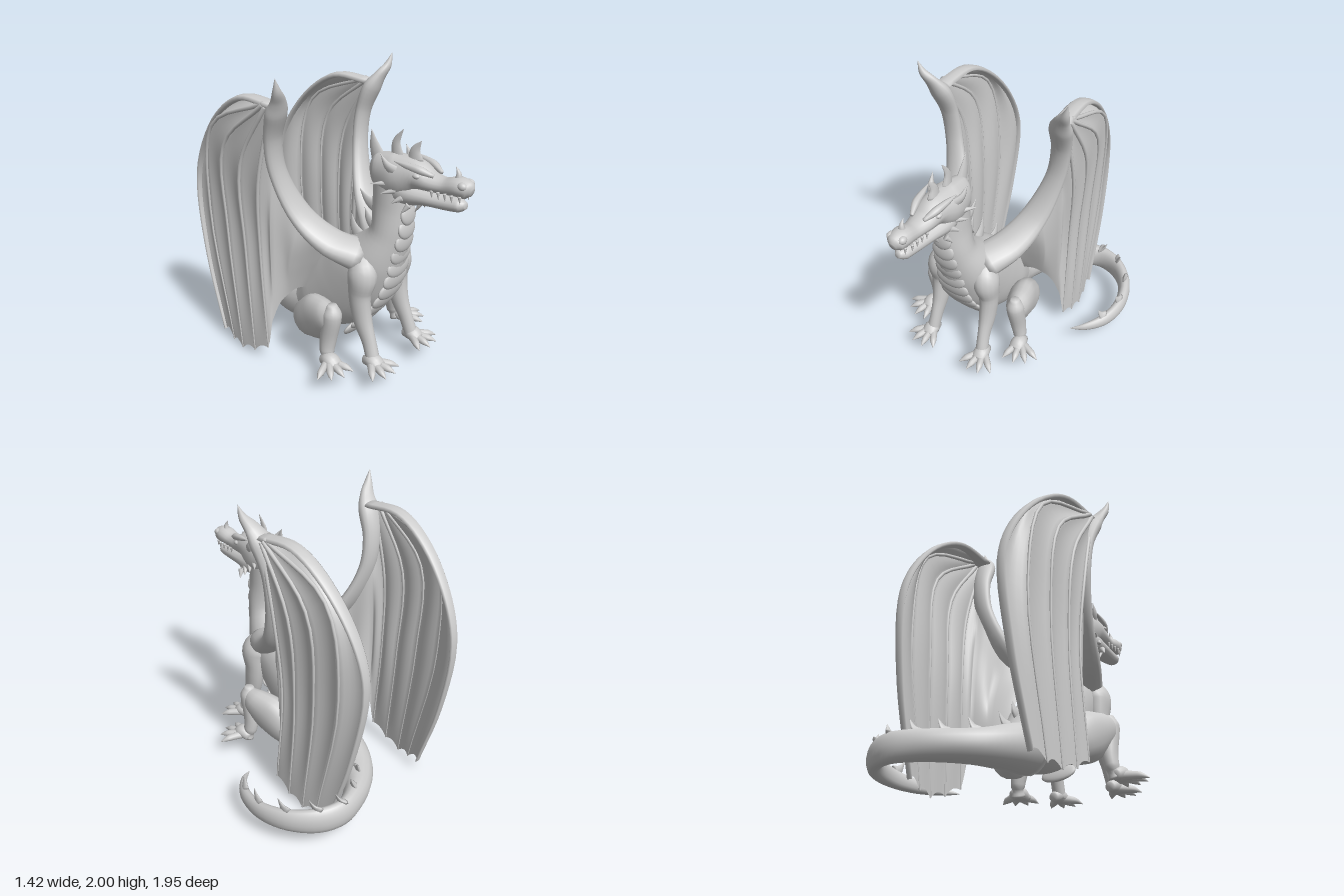
import * as THREE from 'three';

const GROUND = 0.125;
const V = (x, y, z) => new THREE.Vector3(x, y, z);
const mat = new THREE.MeshStandardMaterial({ color: 0xcccccc });
const thin = new THREE.MeshStandardMaterial({ color: 0xcccccc, side: THREE.DoubleSide });

function add(parent, geo, name, material = mat) {
  const m = new THREE.Mesh(geo, material);
  m.name = name;
  parent.add(m);
  return m;
}

// Smooth skin over elliptical sections [x, y, z, halfWidth, halfHeight]
function loft(pts, { sides = 16, steps = 5, level = false, floor = -1 } = {}) {
  const path = new THREE.CatmullRomCurve3(pts.map(p => V(p[0], p[1], p[2])));
  const size = new THREE.CatmullRomCurve3(pts.map(p => V(p[3], p[4] ?? p[3], 0)));
  const n = (pts.length - 1) * steps, pos = [], idx = [];
  const put = p => pos.push(p.x, Math.max(p.y, floor), p.z);
  for (let i = 0; i <= n; i++) {
    const c = path.getPoint(i / n), r = size.getPoint(i / n), t = path.getTangent(i / n);
    let a = level ? V(0, 1, 0).cross(t) : V(1, 0, 0).addScaledVector(t, -t.x);
    if (a.length() < 0.05) a = V(0, 0, 1).addScaledVector(t, -t.z);
    a.normalize();
    const b = t.clone().cross(a);
    for (let j = 0; j < sides; j++) {
      const q = j / sides * Math.PI * 2;
      put(c.clone().addScaledVector(a, Math.cos(q) * Math.max(r.x, 0.001)).addScaledVector(b, Math.sin(q) * Math.max(r.y, 0.001)));
    }
  }
  for (let i = 0; i < n; i++) for (let j = 0; j < sides; j++) {
    const k = (j + 1) % sides, A = i * sides + j, B = i * sides + k;
    idx.push(A, B, A + sides, B, B + sides, A + sides);
  }
  put(path.getPoint(0)); put(path.getPoint(1));
  const e = (n + 1) * sides, last = n * sides;
  for (let j = 0; j < sides; j++) {
    const k = (j + 1) % sides;
    idx.push(e, k, j, e + 1, last + j, last + k);
  }
  const g = new THREE.BufferGeometry();
  g.setAttribute('position', new THREE.Float32BufferAttribute(pos, 3));
  g.setIndex(idx);
  g.computeVertexNormals();
  return g;
}

// Curved horn from base to tip, bowed by the vector bend
function spike(parent, base, tip, r, name, bend = [0, 0, 0], flat = 1) {
  const mid = base.map((v, i) => (v + tip[i]) / 2 + bend[i]);
  return add(parent, loft([[...base, r * flat, r], [...mid, r * 0.6 * flat, r * 0.6], [...tip, 0.001, 0.001]], { sides: 8, steps: 4 }), name);
}

function ball(parent, p, s, name) {
  const m = add(parent, new THREE.SphereGeometry(1, 20, 14), name);
  m.position.set(...p);
  m.scale.set(...s);
  return m;
}

function makeWing(s) {
  const wing = new THREE.Group();
  wing.name = s > 0 ? 'leftWing' : 'rightWing';
  const arm = [[0.12, 0.83, 0.27, 0.13, 0.1], [0.23, 0.92, 0.1, 0.12, 0.07], [0.32, 1.09, -0.06, 0.095, 0.045], [0.405, 1.38, -0.165, 0.07, 0.04],
    [0.435, 1.6, -0.165, 0.07, 0.045], [0.455, 1.76, -0.11, 0.08, 0.055], [0.485, 1.85, -0.06, 0.055, 0.035], [0.525, 1.92, -0.025, 0.028, 0.025], [0.55, 2, -0.01, 0.001, 0.001]];
  add(wing, loft(arm.map(([x, ...q]) => [s * x, ...q])), 'wingArm');
  // Flank edge, two stretched folds, then the five fingers
  const ribs = [
    [[0.1, 0.93, 0.16], [0.16, 0.83, 0.02], [0.18, 0.68, -0.08], [0.17, 0.48, -0.18]],
    [[0.32, 1.09, -0.07], [0.35, 0.9, -0.1], [0.35, 0.72, -0.15], [0.3, 0.47, -0.21]],
    [[0.41, 1.42, -0.18], [0.44, 1.1, -0.21], [0.44, 0.8, -0.23], [0.42, 0.34, -0.24]],
    [[0.48, 1.77, -0.14], [0.49, 1.3, -0.26], [0.465, 0.8, -0.3], [0.475, 0.11, -0.26]],
    [[0.5, 1.8, -0.16], [0.505, 1.4, -0.4], [0.475, 0.8, -0.43], [0.48, 0.04, -0.39]],
    [[0.5, 1.81, -0.18], [0.5, 1.5, -0.55], [0.47, 0.9, -0.6], [0.475, 0.0, -0.52]],
    [[0.49, 1.82, -0.18], [0.475, 1.6, -0.68], [0.45, 1.0, -0.79], [0.455, 0.02, -0.63]],
    [[0.45, 1.81, -0.13], [0.44, 1.82, -0.4], [0.425, 1.68, -0.64], [0.4, 1.4, -0.86], [0.39, 1.12, -0.95], [0.41, 0.6, -0.89], [0.43, 0.06, -0.74]]
  ];
  const curves = ribs.map(r => new THREE.CatmullRomCurve3(r.map(p => V(s * p[0], p[1], p[2]))));
  const rows = 28, per = 6, cols = (ribs.length - 1) * per, pos = [], idx = [];
  for (let i = 0; i <= rows; i++) for (let j = 0; j <= cols; j++) {
    const sag = Math.sin((j % per) / per * Math.PI), t = i / rows * (1 - 0.02 * sag);
    const p = new THREE.CatmullRomCurve3(curves.map(c => c.getPointAt(t))).getPoint(j / cols);
    p.x -= s * 0.025 * sag * Math.sin(t * Math.PI);
    pos.push(p.x, Math.max(p.y, 0), p.z);
    if (i < rows && j < cols) {
      const a = i * (cols + 1) + j, b = a + cols + 1;
      idx.push(a, b, a + 1, b, b + 1, a + 1);
    }
  }
  const g = new THREE.BufferGeometry();
  g.setAttribute('position', new THREE.Float32BufferAttribute(pos, 3));
  g.setIndex(idx);
  g.computeVertexNormals();
  add(wing, g, 'wingMembrane', thin);
  ribs.slice(3).forEach((r, k) => {
    const outer = k === 4;
    add(wing, loft(r.map((p, i) => {
      const f = 1 - 0.65 * i / (r.length - 1), h = (outer ? 0.022 : 0.015) * f;
      return [s * p[0], Math.max(p[1], 0.006), p[2], outer ? 0.06 * f : h, h];
    }), { sides: 8, floor: 0 }), 'wingFinger');
  });
  return wing;
}

// Paw of four clawed toes, turned outward by the given angle
function paw(parent, x, z, turn, name) {
  const g = new THREE.Group();
  g.name = name;
  parent.add(g);
  add(g, loft([[x, 0.15, z - 0.08, 0.03, 0.03], [x, 0.17, z - 0.01, 0.055, 0.05], [x, 0.145, z + 0.05, 0.05, 0.03]], { floor: GROUND }), 'palm');
  for (let i = 0; i < 4; i++) {
    const a = turn + (i - 1.5) * 0.48;
    const at = (d, y, w, h) => [x + Math.sin(a) * d, y, z - 0.03 + Math.cos(a) * d, w, h];
    add(g, loft([at(0.01, 0.155, 0.03, 0.03), at(0.08, 0.152, 0.025, 0.027), at(0.13, 0.147, 0.023, 0.022), at(0.185, 0.13, 0.002, 0.002)],
      { sides: 10, level: true, floor: GROUND }), 'toe');
  }
}

function makeLegs(s) {
  const legs = new THREE.Group();
  legs.name = s > 0 ? 'leftLegs' : 'rightLegs';
  add(legs, loft([[s * 0.15, 0.84, 0.29, 0.06, 0.07], [s * 0.185, 0.74, 0.33, 0.09, 0.1], [s * 0.2, 0.6, 0.32, 0.065, 0.078], [s * 0.2, 0.43, 0.345, 0.055, 0.068],
    [s * 0.205, 0.28, 0.405, 0.042, 0.05], [s * 0.215, 0.15, 0.45, 0.045, 0.045]], { floor: GROUND }), 'frontLeg');
  paw(legs, s * 0.22, 0.46, s * 0.12, 'frontPaw');
  add(legs, loft([[s * 0.17, 0.24, -0.2, 0.04, 0.05], [s * 0.24, 0.3, -0.1, 0.1, 0.13], [s * 0.285, 0.38, 0.04, 0.1, 0.16],
    [s * 0.33, 0.45, 0.16, 0.08, 0.11], [s * 0.34, 0.49, 0.23, 0.045, 0.055]], { floor: GROUND }), 'thigh');
  add(legs, loft([[s * 0.34, 0.55, 0.21, 0.03, 0.03], [s * 0.343, 0.47, 0.21, 0.062, 0.065], [s * 0.35, 0.3, 0.18, 0.052, 0.06],
    [s * 0.365, 0.2, 0.18, 0.045, 0.05], [s * 0.375, 0.14, 0.2, 0.045, 0.05]], { floor: GROUND }), 'shin');
  paw(legs, s * 0.39, 0.24, s * 0.5, 'hindPaw');
  return legs;
}

function makeHead() {
  const head = new THREE.Group();
  head.name = 'head';
  add(head, loft([[0, 1.37, 0.27, 0.04, 0.08], [0, 1.38, 0.33, 0.09, 0.13], [0, 1.385, 0.46, 0.12, 0.145], [0, 1.42, 0.6, 0.1, 0.1], [0, 1.4, 0.7, 0.085, 0.06],
    [0, 1.395, 0.8, 0.066, 0.05], [0, 1.41, 0.89, 0.07, 0.06], [0, 1.4, 0.95, 0.055, 0.055], [0, 1.39, 0.975, 0.02, 0.025]]), 'skull');
  add(head, loft([[0, 1.32, 0.4, 0.08, 0.08], [0, 1.3, 0.53, 0.1, 0.08], [0, 1.3, 0.68, 0.083, 0.055], [0, 1.297, 0.82, 0.062, 0.047],
    [0, 1.3, 0.9, 0.052, 0.042], [0, 1.305, 0.94, 0.02, 0.02]]), 'lowerJaw');
  spike(head, [0, 1.45, 0.88], [0, 1.525, 0.86], 0.025, 'noseHorn', [0, 0, 0.01]);
  spike(head, [0, 1.5, 0.58], [0, 1.63, 0.62], 0.06, 'crestHorn', [0, 0, -0.02], 0.4);
  spike(head, [0, 1.5, 0.45], [0, 1.68, 0.49], 0.05, 'crestHorn', [0, 0, -0.03], 0.4);
  spike(head, [0, 1.44, 0.32], [0, 1.64, 0.25], 0.065, 'crestHorn', [0, 0, -0.01], 0.4);
  for (const s of [-1, 1]) {
    spike(head, [s * 0.07, 1.43, 0.5], [s * 0.13, 1.545, 0.42], 0.045, 'ear', [s * 0.015, -0.01, 0], 0.7);
    add(head, loft([[s * 0.045, 1.45, 0.74, 0.012], [s * 0.075, 1.48, 0.66, 0.025], [s * 0.09, 1.495, 0.58, 0.02], [s * 0.105, 1.51, 0.5, 0.003]], { sides: 8 }), 'browRidge');
    ball(head, [s * 0.083, 1.44, 0.645], [0.018, 0.016, 0.025], 'eye');
    ball(head, [s * 0.042, 1.43, 0.93], [0.025, 0.025, 0.03], 'nostril');
    for (let i = 0; i < 5; i++) {
      const z = 0.74 + i * 0.045, x = s * (0.062 - (i === 4 ? 0.015 : 0));
      spike(head, [x, 1.37, z], [x, 1.325, z + 0.005], 0.011, 'upperTooth');
    }
    for (let i = 0; i < 4; i++) {
      spike(head, [s * 0.085, 1.25 + i * 0.035, 0.6 - i * 0.05], [s * (0.12 + i * 0.01), 1.2 + i * 0.05, 0.57 - i * 0.07], 0.022, 'cheekSpike');
    }
    spike(head, [s * 0.04, 1.27, 0.66], [s * 0.05, 1.2, 0.62], 0.018, 'chinSpike');
  }
  return head;
}

export function createModel() {
  const root = new THREE.Group();
  root.name = 'dragon';
  const dragon = new THREE.Group();
  dragon.name = 'figure';
  dragon.position.x = -0.155;
  root.add(dragon);

  add(dragon, loft([[0, 0.26, -0.36, 0.12, 0.1], [0, 0.36, -0.16, 0.18, 0.22], [0, 0.5, 0.04, 0.2, 0.27], [0, 0.66, 0.19, 0.21, 0.26], [0, 0.82, 0.32, 0.2, 0.19],
    [0, 1.0, 0.41, 0.14, 0.13], [0, 1.18, 0.42, 0.11, 0.135], [0, 1.36, 0.42, 0.1, 0.13]], { sides: 24, floor: GROUND }), 'body');
  dragon.add(makeHead());

  // Overlapping plates from throat to belly
  const front = new THREE.CatmullRomCurve3([[1.15, 0.54], [1.0, 0.522], [0.85, 0.485], [0.7, 0.455], [0.55, 0.395], [0.4, 0.29], [0.22, 0.13]].map(p => V(0, ...p)));
  for (let i = 0; i < 12; i++) {
    const t = i / 11, p = front.getPointAt(t), d = front.getTangentAt(t);
    const plate = ball(dragon, [0, p.y, p.z], [0.075 + 0.055 * Math.min(1, t * 2), 0.07, 0.024], 'bellyPlate');
    plate.rotation.x = Math.atan2(-d.z, -d.y) - 0.22;
  }

  // Tail curling round to the left, flat on the ground
  const tail = [[0, 0.3, -0.2, 0.16, 0.17], [0, 0.26, -0.38, 0.135, 0.14], [0.06, 0.22, -0.58, 0.12, 0.11], [0.17, 0.21, -0.72, 0.1, 0.1],
    [0.3, 0.21, -0.82, 0.075, 0.1], [0.46, 0.21, -0.88, 0.055, 0.1], [0.62, 0.205, -0.84, 0.05, 0.095], [0.76, 0.195, -0.7, 0.045, 0.08],
    [0.82, 0.175, -0.5, 0.04, 0.065], [0.79, 0.16, -0.31, 0.035, 0.05], [0.7, 0.145, -0.18, 0.02, 0.03], [0.61, 0.13, -0.12, 0.002, 0.002]];
  add(dragon, loft(tail, { level: true, floor: GROUND }), 'tail');
  for (let i = 1; i < 10; i++) {
    const [x, y, z, , h] = tail[i], [nx, , nz] = tail[i + 1], top = y + h - 0.015;
    spike(dragon, [x, top, z], [x + (nx - x) * 0.35, top + 0.08, z + (nz - z) * 0.35], 0.045, 'tailSpine', [0, -0.015, 0], 0.4);
  }

  // Spines down the neck and back: base y, z and tip y, z
  for (const [y, z, ty, tz] of [[1.13, 0.31, 1.23, 0.16], [1.0, 0.29, 1.11, 0.2], [0.9, 0.15, 1.04, 0.09], [0.78, 0.0, 0.88, -0.08], [0.64, -0.14, 0.72, -0.21], [0.48, -0.28, 0.56, -0.35]]) {
    spike(dragon, [0, y, z], [0, ty, tz], 0.055, 'backSpine', [0, -0.015, -0.01], 0.4);
  }
  for (const s of [-1, 1]) dragon.add(makeLegs(s), makeWing(s));
  return root;
}
